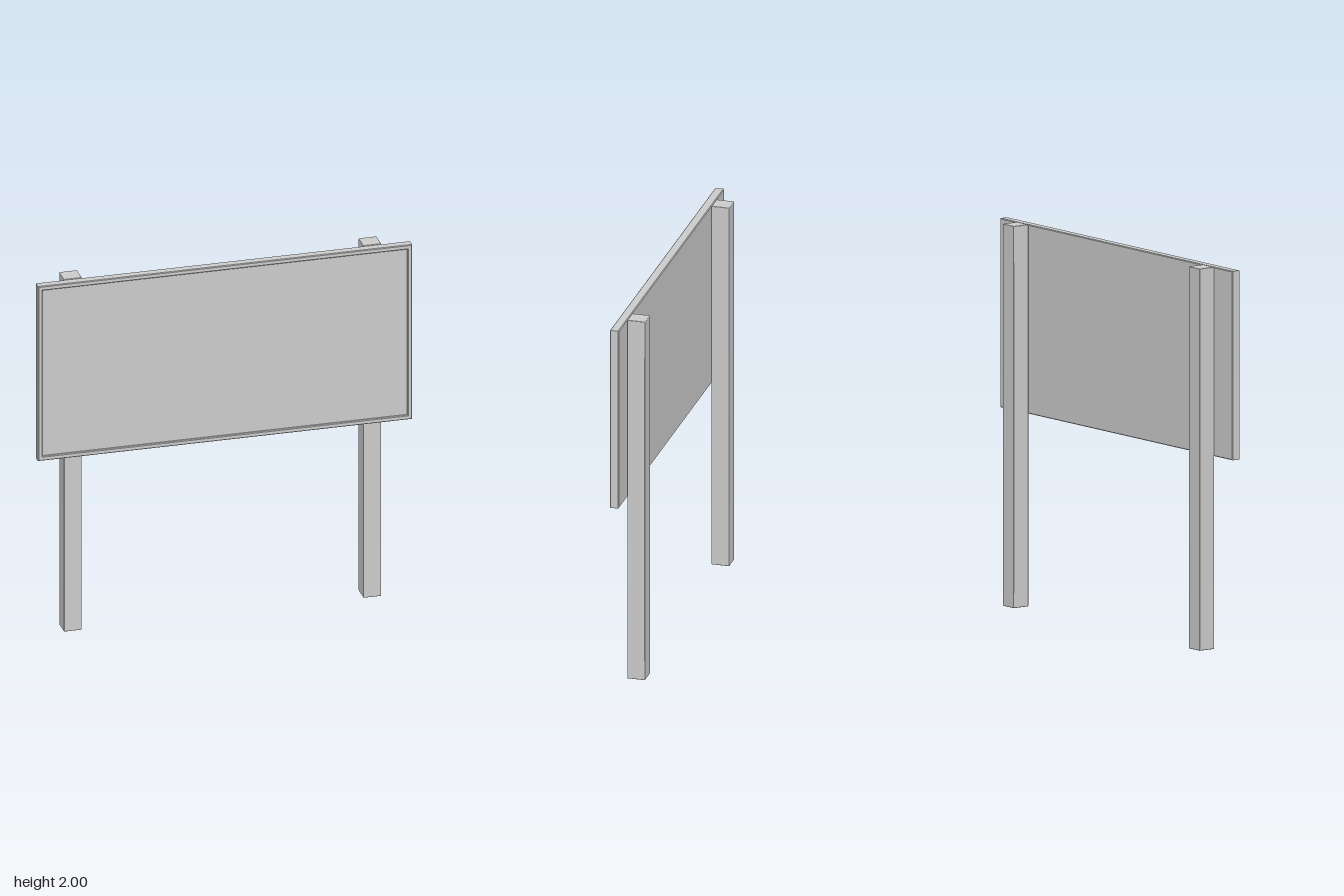
import * as THREE from 'three';
import { RoundedBoxGeometry } from 'three/addons/geometries/RoundedBoxGeometry.js';

const BACK = 0.025, FRONT = 0.073, BOTTOM = 1.008, TOP = 1.998, RIM = 0.025, BEVEL = 0.004;

function rectangle(PathType, x, y0, y1) {
  const path = new PathType();
  path.moveTo(-x, y0);
  path.lineTo(x, y0);
  path.lineTo(x, y1);
  path.lineTo(-x, y1);
  path.closePath();
  return path;
}

export function createModel() {
  const group = new THREE.Group();
  const material = new THREE.MeshStandardMaterial({ color: 0xcccccc });
  const add = (name, geometry, x, y, z) => {
    const mesh = new THREE.Mesh(geometry, material);
    mesh.name = name;
    mesh.position.set(x, y, z);
    group.add(mesh);
  };

  // Bevelled rim around the board
  const outline = rectangle(THREE.Shape, 1, BOTTOM, TOP);
  outline.holes.push(rectangle(THREE.Path, 1 - RIM, BOTTOM + RIM, TOP - RIM));
  const rim = new THREE.ExtrudeGeometry(outline, {
    depth: FRONT - BACK - 2 * BEVEL,
    bevelEnabled: true,
    bevelSize: BEVEL,
    bevelThickness: BEVEL,
    bevelOffset: -BEVEL,
    bevelSegments: 1,
  });
  add('boardRim', rim, 0, 0, BACK + BEVEL);

  // Panel, flush with the back and set in slightly at the front
  const depth = FRONT - BACK - 0.012;
  const panel = new THREE.BoxGeometry(2 - RIM, TOP - BOTTOM - RIM, depth);
  add('boardPanel', panel, 0, (TOP + BOTTOM) / 2, BACK + depth / 2);

  // Two square posts behind the board
  const post = new RoundedBoxGeometry(0.096, 2, 0.096, 1, BEVEL);
  for (const [name, side] of [['leftPost', 1], ['rightPost', -1]]) {
    add(name, post, side * 0.8, 1, -0.025);
  }
  return group;
}
